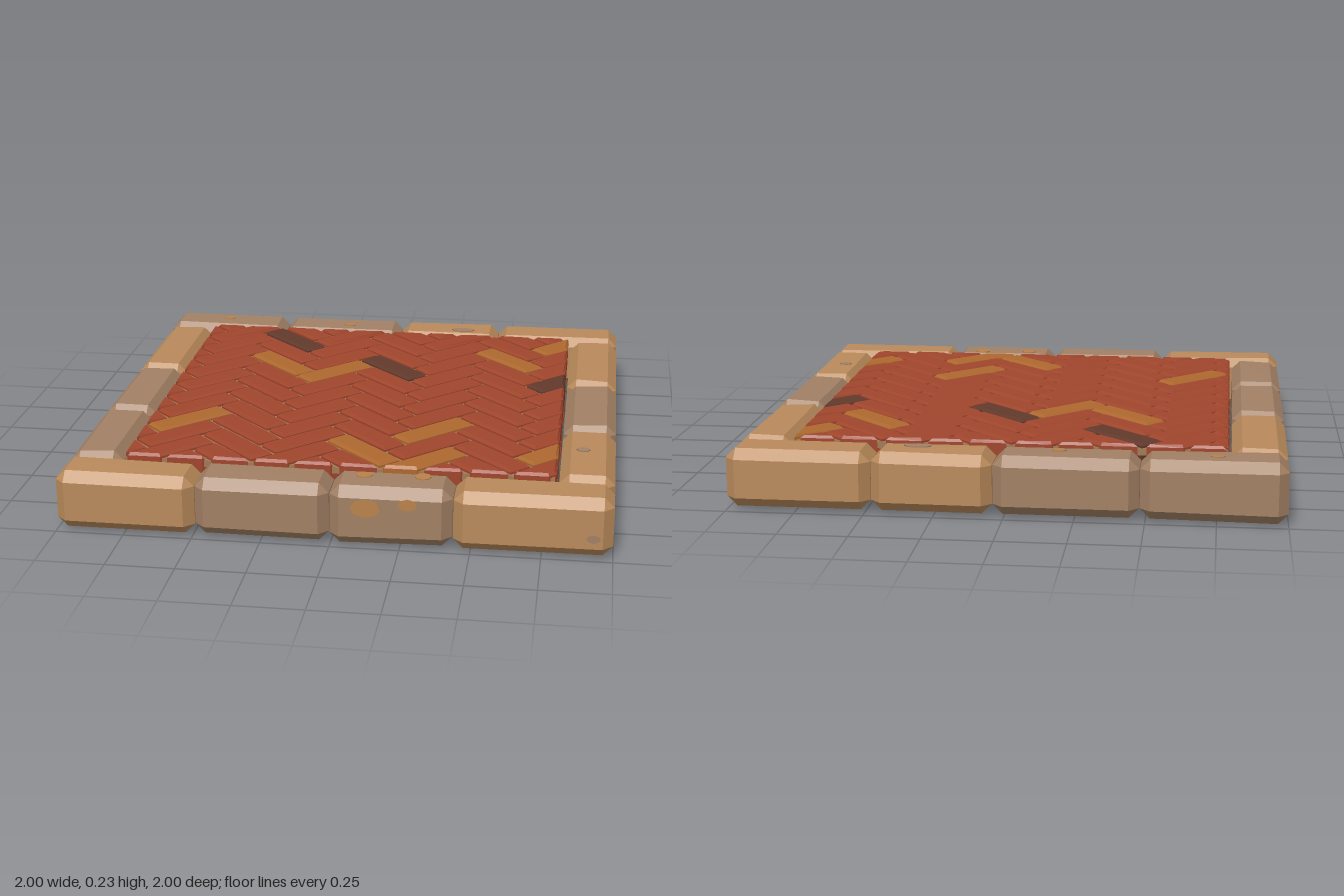
import * as THREE from 'three';
import { mergeGeometries } from 'three/addons/utils/BufferGeometryUtils.js';
import { ConvexGeometry } from 'three/addons/geometries/ConvexGeometry.js';

const mat = (name, color) => Object.assign(new THREE.MeshStandardMaterial({ color }), { name });

const HALF = 0.79;               // half side of the paved square
const W = 0.1115, L = 3 * W;     // brick cell of the 3:1 herringbone
const PITCH = W * Math.SQRT2, COLUMN = L / Math.SQRT2;

// Cut a polygon to the paved square
function clip(points) {
  for (const axis of ['x', 'y']) {
    for (const s of [1, -1]) {
      const out = [];
      points.forEach((a, i) => {
        const b = points[(i + 1) % points.length];
        const da = HALF - s * a[axis], db = HALF - s * b[axis];
        if (da >= 0) out.push(a);
        if (da * db < 0) out.push(a.clone().lerp(b, da / (da - db)));
      });
      points = out;
    }
  }
  return points.filter((p, i) => p.distanceTo(points[(i + 1) % points.length]) > 0.002);
}

// One bevelled brick, cut where it meets the border
function brickGeometry(x, z, angle) {
  const l = L / 2 - 0.009, w = W / 2 - 0.009;
  const centre = new THREE.Vector2(x, -z), origin = new THREE.Vector2();
  const poly = clip([[-l, -w], [l, -w], [l, w], [-l, w]].map(([a, b]) =>
    new THREE.Vector2(a, b).rotateAround(origin, angle).add(centre)));
  if (poly.length < 3) return null;
  const area = Math.abs(THREE.ShapeUtils.area(poly));
  if (area < 0.0006) return null;
  const perimeter = poly.reduce((sum, p, i) => sum + p.distanceTo(poly[(i + 1) % poly.length]), 0);
  const bevel = Math.min(0.01, 0.8 * area / perimeter);
  const g = new THREE.ExtrudeGeometry(new THREE.Shape(poly), {
    depth: 0.115 - 2 * bevel, bevelEnabled: true, bevelSegments: 1,
    bevelSize: bevel, bevelThickness: bevel, bevelOffset: -bevel,
  });
  g.rotateX(-Math.PI / 2);
  g.translate(0, 0.12 + bevel, 0);
  return g;
}

// Block with every edge and corner chamfered, top slightly uneven
function stoneGeometry(x0, x1, z0, z1, rand) {
  const h = [(x1 - x0) / 2, 0.112, (z1 - z0) / 2], c = 0.036;
  const points = [];
  for (const sx of [-1, 1]) for (const sy of [-1, 1]) for (const sz of [-1, 1]) {
    const dip = rand() * 0.008;
    for (let face = 0; face < 3; face++) {
      const [x, y, z] = h.map((v, i) => (i === face ? v : v - c));
      points.push(new THREE.Vector3(sx * x, sy * (y - dip), sz * z));
    }
  }
  const g = new ConvexGeometry(points);
  g.translate((x0 + x1) / 2, 0.118, (z0 + z1) / 2);
  return g;
}

export function createModel() {
  const model = new THREE.Group();
  let seed = 7;
  const rand = () => (seed = (seed * 16807) % 2147483647) / 2147483647;
  const red = mat('brickRed', 0xa0452c), ochre = mat('brickOchre', 0xae682e);
  const dark = mat('brickDark', 0x62392c), mortar = mat('mortar', 0xa07a55);
  const tan = mat('stoneTan', 0xb98a5b), grey = mat('stoneGreyBrown', 0xa28064);
  const orange = mat('patchOrange', 0xb9824c), wood = mat('beamBrown', 0x5a3328);

  const add = (name, geometry, material, parent = model) => {
    const mesh = new THREE.Mesh(geometry, material);
    mesh.name = name;
    parent.add(mesh);
    return mesh;
  };

  // Herringbone paving; odd bricks listed as column,row
  const special = { ochre: ['2,0', '3,0', '6,-1', '1,4', '5,4', '4,6', '5,6', '7,-3', '7,5'], dark: ['2,-2', '4,0', '7,0'] };
  const sets = { red: [], ochre: [], dark: [] };
  for (let col = 0; col < 8; col++) {
    for (let row = -5; row <= 9; row++) {
      const odd = col % 2;
      const g = brickGeometry(-0.873 + col * COLUMN, -0.32 + (row + odd / 2) * PITCH, (odd ? 1 : -1) * Math.PI / 4);
      if (!g) continue;
      const key = `${col},${row}`;
      sets[special.ochre.includes(key) ? 'ochre' : special.dark.includes(key) ? 'dark' : 'red'].push(g);
    }
  }
  const paving = new THREE.Group();
  paving.name = 'paving';
  model.add(paving);
  add('redBricks', mergeGeometries(sets.red), red, paving);
  add('ochreBricks', mergeGeometries(sets.ochre), ochre, paving);
  add('darkBricks', mergeGeometries(sets.dark), dark, paving);
  add('mortarBed', new THREE.BoxGeometry(2 * HALF - 0.01, 0.025, 2 * HALF - 0.01), mortar, paving).position.y = 0.205;

  // Border stones: joints along each side and a colour for each stone
  const border = new THREE.Group();
  border.name = 'borderStones';
  model.add(border);
  const rows = [
    ['back', -1, [-1, -0.48, 0.04, 0.475, 1], [grey, grey, tan, tan]],
    ['front', 1, [-1, -0.49, -0.003, 0.437, 1], [tan, grey, grey, tan]],
    ['right', -1, [-0.8, -0.22, 0.3, 0.8], [tan, grey, grey]],
    ['left', 1, [-0.8, -0.23, 0.29, 0.8], [tan, grey, tan]],
  ];
  for (const [name, side, joints, colours] of rows) {
    const a = side > 0 ? 0.8 : -1, b = a + 0.2;
    colours.forEach((colour, i) => {
      const s = joints[i] + 0.001, e = joints[i + 1] - 0.001;
      const along = name === 'back' || name === 'front';
      const g = along ? stoneGeometry(s, e, a, b, rand) : stoneGeometry(a, b, s, e, rand);
      add(name + 'Stone', g, colour, border);
    });
  }

  // Weathered patches: thin discs on the stones
  const patch = (x, y, z, rx, rz, colour, upright) => {
    const m = add('weatherPatch', new THREE.CylinderGeometry(1, 1, 0.004, 8), colour, border);
    m.position.set(x, y, z);
    m.scale.set(rx, 1, rz);
    if (upright) m.rotation.x = Math.PI / 2;
  };
  patch(0.13, 0.155, 1, 0.055, 0.035, orange, true);
  patch(0.28, 0.175, 1, 0.035, 0.022, orange, true);
  patch(0.93, 0.085, 1, 0.025, 0.016, grey, true);
  patch(0.11, 0.229, 0.87, 0.03, 0.025, orange);
  patch(0.32, 0.229, 0.86, 0.03, 0.03, orange);
  patch(-0.75, 0.229, -0.91, 0.025, 0.015, orange);
  patch(-0.19, 0.229, -0.88, 0.025, 0.015, orange);
  patch(0.32, 0.229, -0.87, 0.05, 0.025, grey);
  patch(0.88, 0.229, 0.52, 0.025, 0.02, grey);

  // Support beams under the paving, with red end blocks
  for (const z of [-0.4, 0, 0.4]) {
    const beam = new THREE.Group();
    beam.name = 'supportBeam';
    beam.position.set(0, 0.0625, z);
    model.add(beam);
    add('beamBody', new THREE.BoxGeometry(1.46, 0.125, 0.12), wood, beam);
    for (const s of [-1, 1]) {
      add('beamEnd', new THREE.BoxGeometry(0.06, 0.125, 0.12), red, beam).position.x = s * 0.76;
    }
  }
  return model;
}
